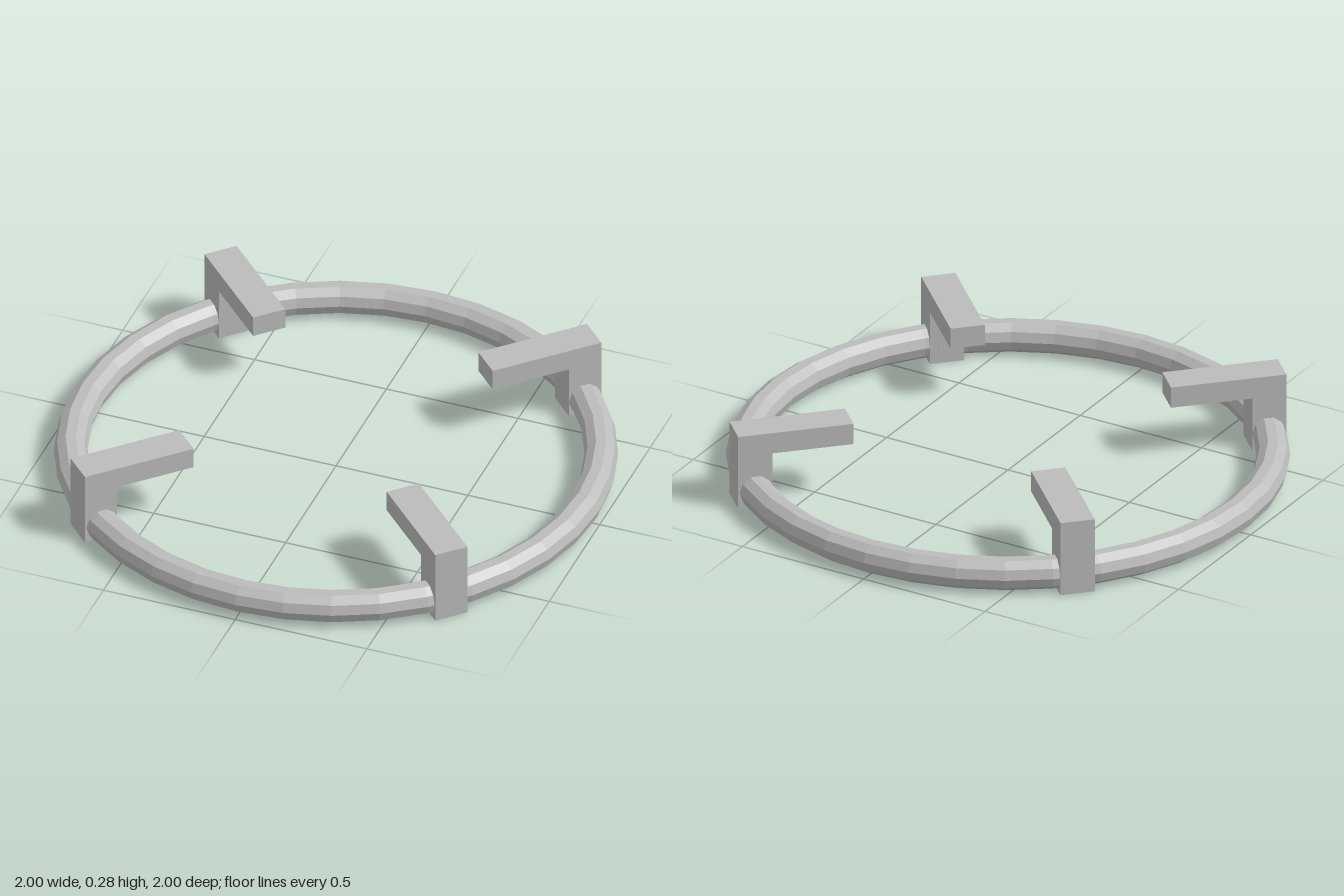
import * as THREE from 'three';

const RING_RADIUS = 0.94, TUBE_RADIUS = 0.06, RING_Y = 0.063;
const OUTER = 1.002, INNER = 0.58, POST = 0.125;   // bracket extents along its radius
const HEIGHT = 0.285, ARM_THICKNESS = 0.08;

export function createModel() {
  const metal = new THREE.MeshStandardMaterial({ color: 0xbcbcbc, flatShading: true });
  metal.name = 'grey metal';

  const model = new THREE.Group();
  model.name = 'ringWithBrackets';

  // Faceted ring lying flat
  const ring = new THREE.Mesh(new THREE.TorusGeometry(RING_RADIUS, TUBE_RADIUS, 10, 36), metal);
  ring.name = 'ring';
  ring.rotation.x = -Math.PI / 2;
  ring.position.y = RING_Y;
  model.add(ring);

  // Post and inward arm, laid out along +x
  const armLength = OUTER - POST - INNER;
  const postGeometry = new THREE.BoxGeometry(POST, HEIGHT, POST)
    .translate(OUTER - POST / 2, HEIGHT / 2, 0);
  const armGeometry = new THREE.BoxGeometry(armLength, ARM_THICKNESS, POST)
    .translate(INNER + armLength / 2, HEIGHT - ARM_THICKNESS / 2, 0);

  // Four brackets on the diagonals
  for (let i = 0; i < 4; i++) {
    const bracket = new THREE.Group();
    bracket.name = `bracket${i + 1}`;
    const post = new THREE.Mesh(postGeometry, metal);
    post.name = 'post';
    const arm = new THREE.Mesh(armGeometry, metal);
    arm.name = 'arm';
    bracket.add(post, arm);
    bracket.rotation.y = Math.PI / 4 + i * Math.PI / 2;
    model.add(bracket);
  }
  return model;
}
